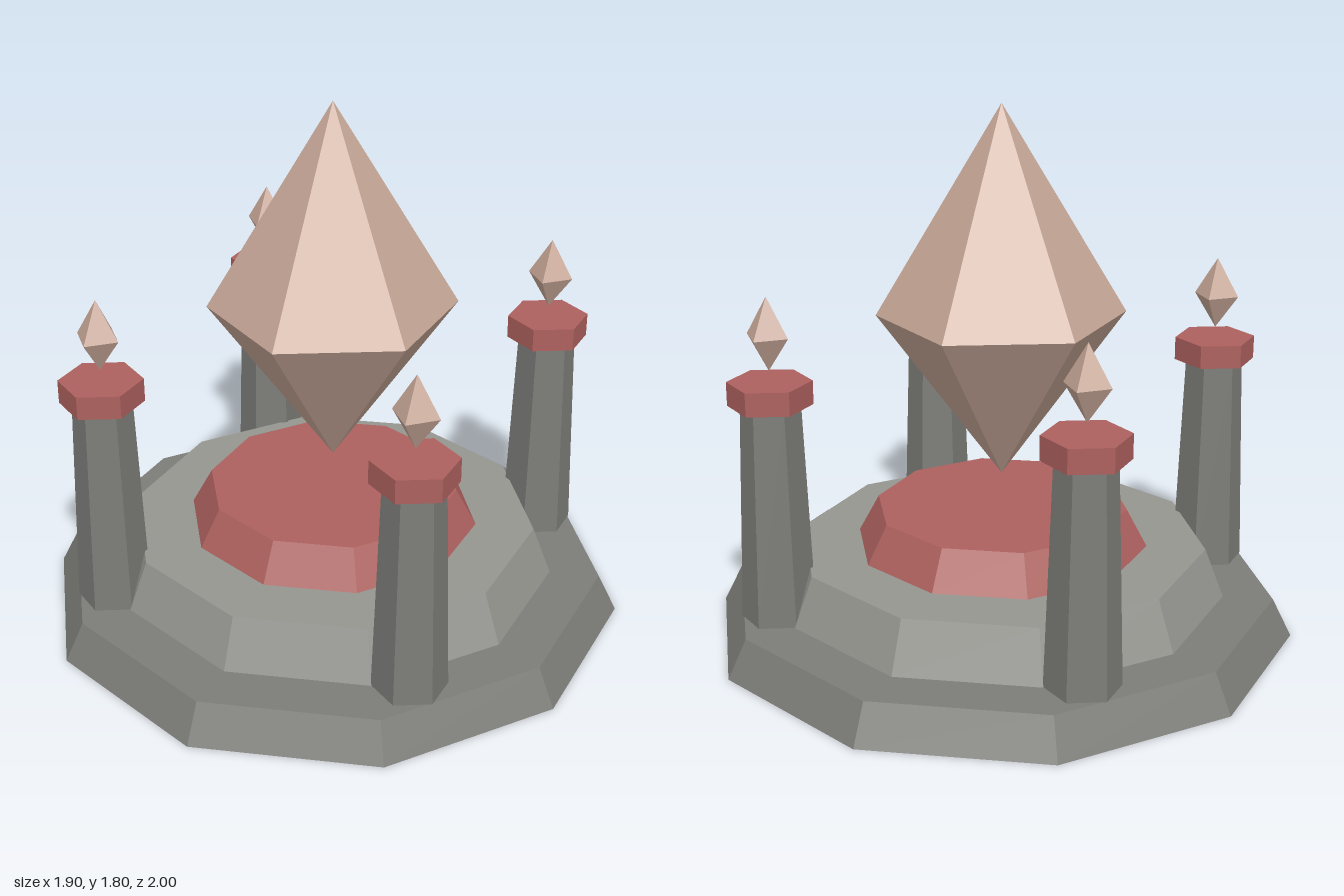
import * as THREE from 'three';

const mat = (color) => new THREE.MeshStandardMaterial({ color, flatShading: true });

export function createModel() {
  const model = new THREE.Group();
  const darkStone = mat(0x7c7c78);
  const lightStone = mat(0x969691);
  const red = mat(0xad615e);
  const gem = mat(0xc8a898);

  // Tapered prism standing between heights y0 and y1
  function prism(name, parent, rTop, rBottom, y0, y1, sides, material) {
    const mesh = new THREE.Mesh(new THREE.CylinderGeometry(rTop, rBottom, y1 - y0, sides), material);
    mesh.position.y = (y0 + y1) / 2;
    mesh.name = name;
    parent.add(mesh);
  }

  // Double-pointed crystal: bottom tip, girdle, top tip
  function crystal(name, parent, r, y0, yMid, y1, sides) {
    const profile = [[0, y0], [r, yMid], [0, y1]].map(([x, y]) => new THREE.Vector2(x, y));
    const mesh = new THREE.Mesh(new THREE.LatheGeometry(profile, sides), gem);
    mesh.name = name;
    parent.add(mesh);
  }

  // Stepped ten-sided platform
  prism('base', model, 0.935, 1, 0, 0.13, 10, darkStone);
  prism('step', model, 0.7, 0.765, 0.13, 0.3, 10, lightStone);
  prism('dais', model, 0.43, 0.5, 0.3, 0.43, 10, red);

  // Large floating crystal
  crystal('mainCrystal', model, 0.415, 0.54, 1.105, 1.8, 6);

  // Four corner pillars with caps and small floating crystals
  for (const [sx, xName] of [[1, 'Left'], [-1, 'Right']]) {
    for (const [sz, zName] of [[1, 'front'], [-1, 'back']]) {
      const pillar = new THREE.Group();
      pillar.name = `${zName}${xName}Pillar`;
      pillar.position.set(sx * 0.553, 0, sz * 0.553);
      prism('shaft', pillar, 0.098, 0.123, 0.13, 0.87, 6, darkStone);
      prism('cap', pillar, 0.138, 0.138, 0.87, 0.95, 6, red);
      crystal('smallCrystal', pillar, 0.078, 0.985, 1.1, 1.23, 4);
      model.add(pillar);
    }
  }

  return model;
}
